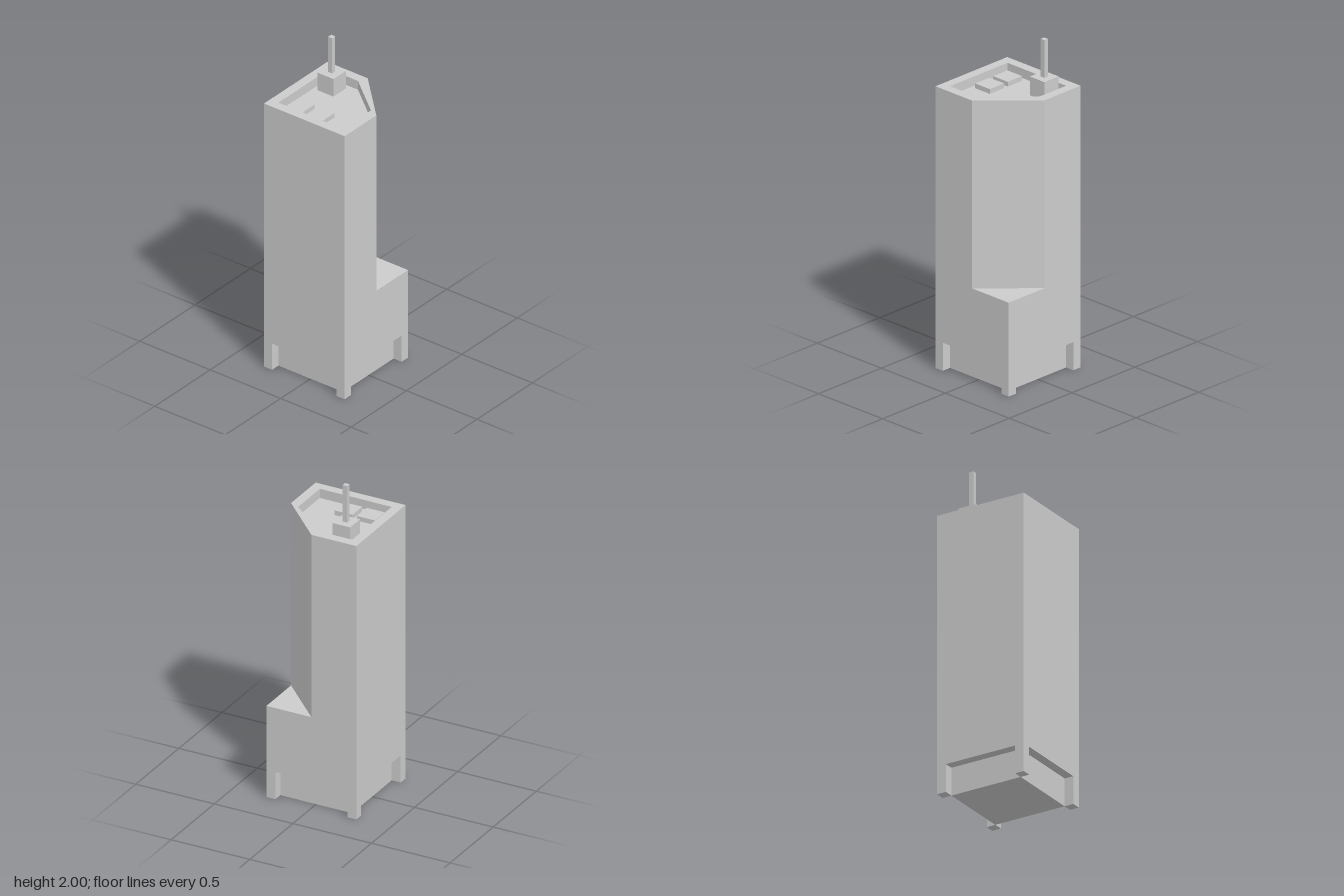
import * as THREE from 'three';

const material = new THREE.MeshStandardMaterial({ color: 0xcccccc, flatShading: true });

const HALF = 0.286;    // half the tower's width
const INNER = 0.229;   // half width inside the parapet and of the recessed base
const LEG_TOP = 0.171, STEP = 0.571, ROOF = 1.657, TOP = 1.714;

// Outline of a square with its +x, -z corner cut off; points are (x, -z)
function cutSquare(half, cut) {
  return [[-half, -half], [half, -half], [half, -cut], [cut, half], [-half, half]]
    .map(([x, y]) => new THREE.Vector2(x, y));
}

export function createModel() {
  const group = new THREE.Group();

  const add = (name, geometry, x, y, z) => {
    const mesh = new THREE.Mesh(geometry, material);
    mesh.name = name;
    mesh.position.set(x, y, z);
    group.add(mesh);
  };
  // Square block standing on y0
  const block = (name, width, y0, y1, x = 0, z = 0) =>
    add(name, new THREE.BoxGeometry(width, y1 - y0, width), x, (y0 + y1) / 2, z);
  // Upright prism from an outline
  const prism = (name, shape, y0, y1) => {
    const geometry = new THREE.ExtrudeGeometry(shape, { depth: y1 - y0, bevelEnabled: false });
    geometry.rotateX(-Math.PI / 2);
    add(name, geometry, 0, y0, 0);
  };

  // Recessed ground floor between four corner legs
  block('groundFloor', INNER * 2, 0, LEG_TOP);
  const legAt = (HALF + INNER) / 2;
  for (const x of [-legAt, legAt])
    for (const z of [-legAt, legAt]) block('cornerLeg', HALF - INNER, 0, LEG_TOP, x, z);

  // Square lower storeys, then the tower with its cut corner
  block('lowerStoreys', HALF * 2, LEG_TOP, STEP);
  const outline = cutSquare(HALF, 0);
  prism('tower', new THREE.Shape(outline), STEP, ROOF);

  // Parapet of even thickness around the roof
  const parapet = new THREE.Shape(outline);
  parapet.holes.push(new THREE.Path(cutSquare(INNER, -0.024)));
  prism('parapet', parapet, ROOF, TOP);

  // Roof equipment and mast
  const at = 0.143;
  block('roofHouse', 0.114, ROOF, 1.771, -at, -at);
  block('mast', 0.028, 1.771, 2, -at, -at);
  block('roofUnit', 0.114, ROOF, 1.686, -at, at);
  block('roofUnit', 0.114, ROOF, 1.686, 0, at);

  return group;
}
